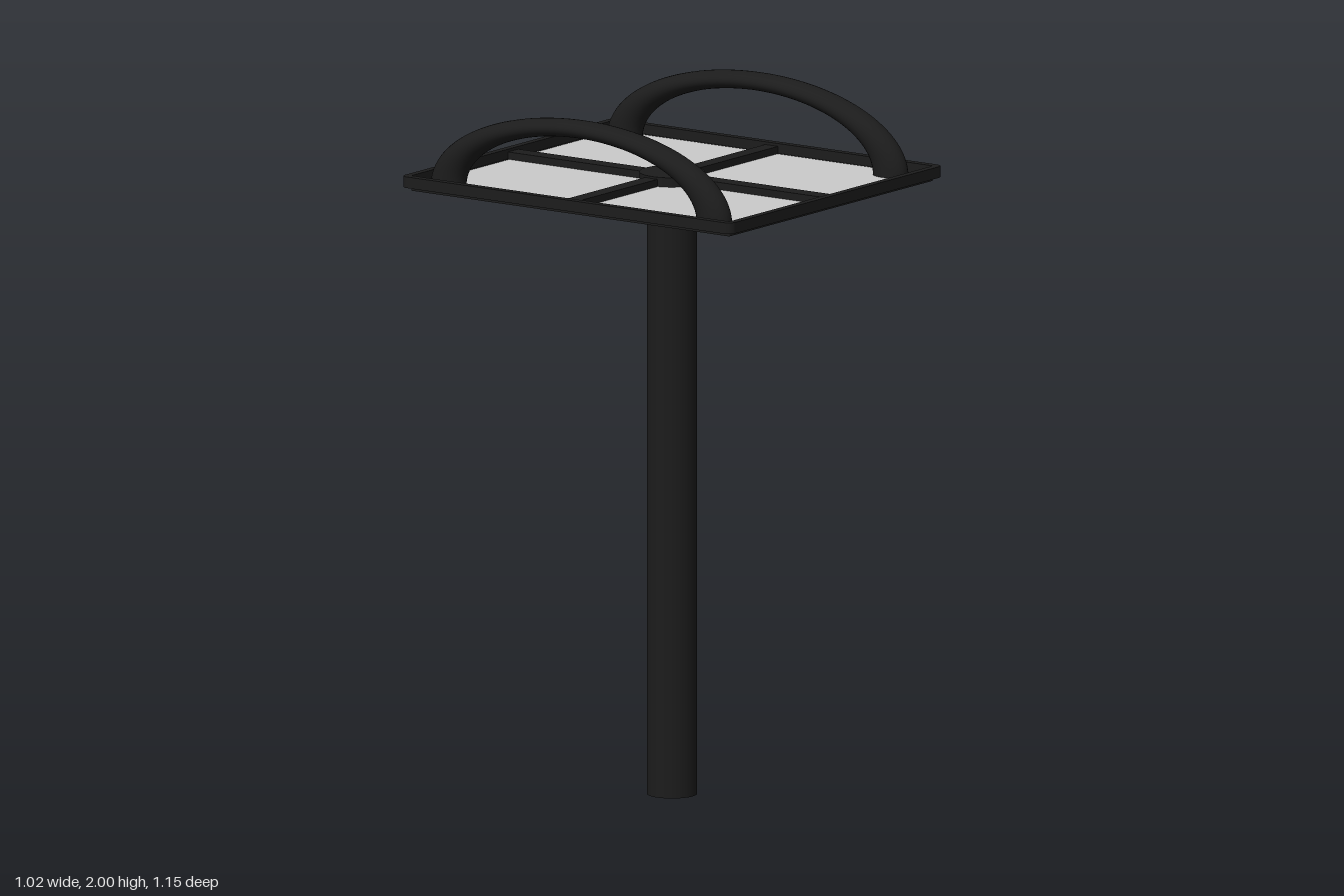
import * as THREE from 'three';

const dark = new THREE.MeshStandardMaterial({ color: 0x1c1c1c });
const grey = new THREE.MeshStandardMaterial({ color: 0xcccccc });

export function createModel() {
  const group = new THREE.Group();
  const add = (name, geometry, x, y, z, material = dark) => {
    const mesh = new THREE.Mesh(geometry, material);
    mesh.name = name;
    mesh.position.set(x, y, z);
    group.add(mesh);
    return mesh;
  };

  // Rounded rectangle in the x-z plane
  const roundedRect = (Type, w, d, r) => {
    const p = new Type();
    p.moveTo(w - r, -d);
    p.absarc(w - r, -d + r, r, -Math.PI / 2, 0);
    p.absarc(w - r, d - r, r, 0, Math.PI / 2);
    p.absarc(-w + r, d - r, r, Math.PI / 2, Math.PI);
    p.absarc(-w + r, -d + r, r, Math.PI, Math.PI * 1.5);
    p.closePath();
    return p;
  };
  // Flat ring lying down, rising by height from y = 0
  const ring = (w, d, r, innerW, innerD, height) => {
    const shape = roundedRect(THREE.Shape, w, d, r);
    shape.holes.push(roundedRect(THREE.Path, innerW, innerD, 0.003));
    return new THREE.ExtrudeGeometry(shape, { depth: height, bevelEnabled: false, curveSegments: 6 })
      .rotateX(-Math.PI / 2);
  };

  // Post and the round hub that clamps the tray
  add('post', new THREE.CylinderGeometry(0.071, 0.071, 1.73, 48), 0, 0.865, 0);
  add('hub', new THREE.CylinderGeometry(0.092, 0.092, 0.058, 48), 0, 1.757, 0);

  // Tray: panel with a slim edge, raised frame and crossing ribs
  add('panel', new THREE.BoxGeometry(0.97, 0.014, 1.1), 0, 1.752, 0, grey);
  add('panelEdge', ring(0.488, 0.553, 0.004, 0.484, 0.549, 0.015), 0, 1.745, 0);
  add('frame', ring(0.51, 0.574, 0.022, 0.487, 0.553, 0.032), 0, 1.756, 0);
  add('longRib', new THREE.BoxGeometry(0.05, 0.026, 1.12), 0.001, 1.767, 0);
  add('crossRib', new THREE.BoxGeometry(0.99, 0.026, 0.045), 0, 1.767, -0.007);

  // Flattened arched handles along both sides
  for (const side of [-1, 1]) {
    const arch = new THREE.TorusGeometry(0.462, 0.054, 24, 64, Math.PI).rotateY(Math.PI / 2);
    arch.scale(0.76, 0.24 / 0.516, 1);
    add(side > 0 ? 'leftHandle' : 'rightHandle', arch, side * 0.422, 1.76, -0.008);
  }
  return group;
}
